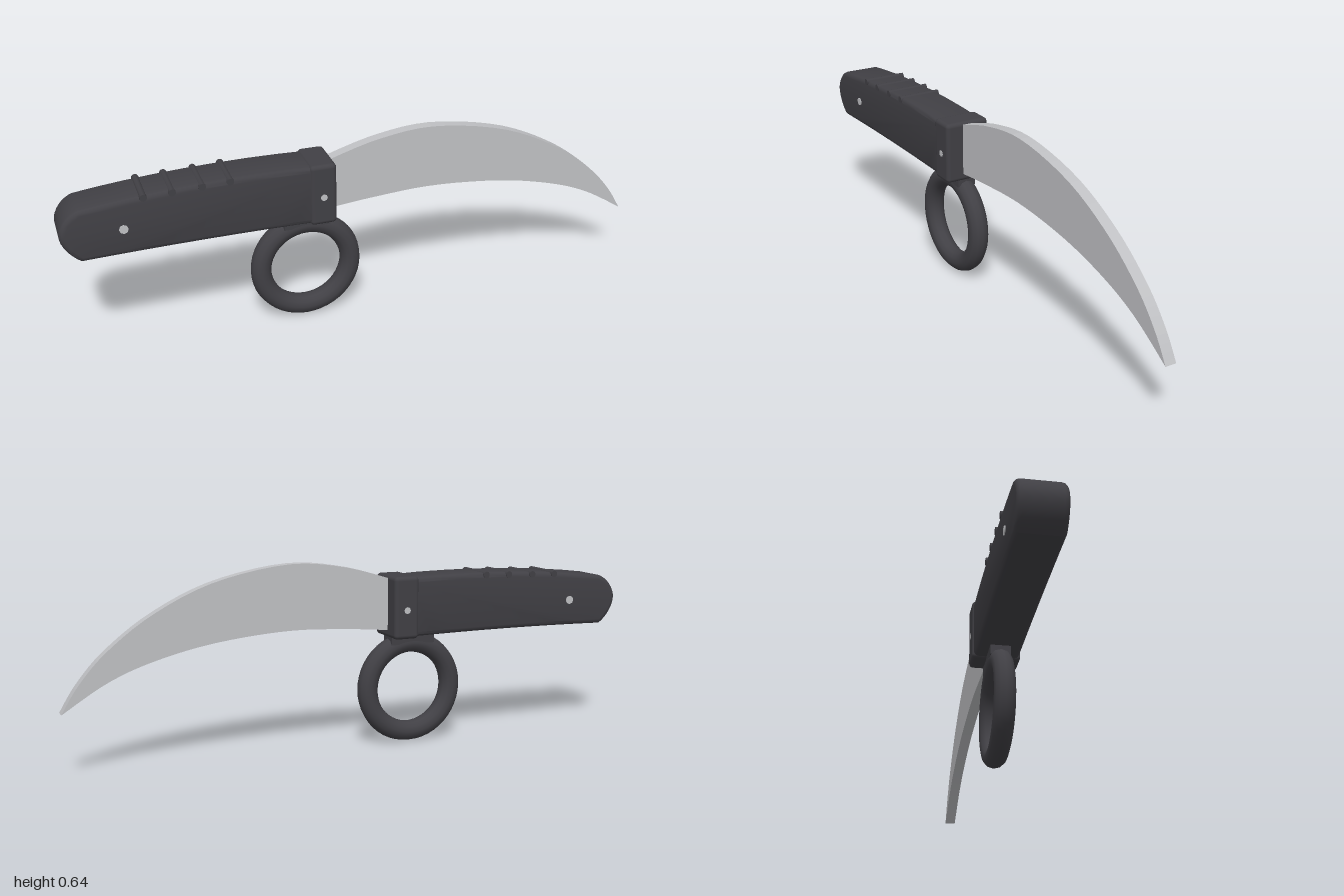
import * as THREE from 'three';
import { toCreasedNormals } from 'three/addons/utils/BufferGeometryUtils.js';
import { RoundedBoxGeometry } from 'three/addons/geometries/RoundedBoxGeometry.js';

export function createModel() {
  const model = new THREE.Group();
  model.name = 'ringKnife';

  const grip = new THREE.MeshStandardMaterial({ name: 'dark grip', color: 0x414045 });
  const steel = new THREE.MeshStandardMaterial({ name: 'blade steel', color: 0xc0c1c4 });

  const add = (name, geometry, material, x = 0, y = 0, z = 0) => {
    const mesh = new THREE.Mesh(geometry, material);
    mesh.name = name;
    mesh.position.set(x, y, z);
    model.add(mesh);
    return mesh;
  };
  const points = (list) => list.map(([x, y]) => new THREE.Vector2(x, y));

  // Curved blade tapering to a drooping point
  const blade = new THREE.Shape();
  blade.moveTo(-0.13, 0.4);
  blade.splineThru(points([[0.03, 0.415], [0.25, 0.424], [0.5, 0.402], [0.7, 0.358], [0.85, 0.301], [0.995, 0.213]]));
  blade.splineThru(points([[0.94, 0.3], [0.85, 0.398], [0.7, 0.507], [0.5, 0.597], [0.25, 0.643], [0.05, 0.625], [-0.13, 0.575]]));
  blade.closePath();
  const bladeGeometry = new THREE.ExtrudeGeometry(blade, { depth: 0.038, bevelEnabled: false, curveSegments: 4 });
  add('blade', bladeGeometry, steel, 0, 0, -0.019);

  // Handle with arched back and rounded butt
  const bevel = 0.016;
  const handle = new THREE.Shape();
  handle.moveTo(-0.15, 0.381);
  handle.quadraticCurveTo(-0.55, 0.39, -0.94, 0.379);
  handle.bezierCurveTo(-0.973, 0.4, -1, 0.44, -1, 0.473);
  handle.bezierCurveTo(-1, 0.505, -0.97, 0.545, -0.935, 0.555);
  handle.bezierCurveTo(-0.75, 0.58, -0.45, 0.598, -0.15, 0.582);
  handle.closePath();
  const handleGeometry = new THREE.ExtrudeGeometry(handle, {
    depth: 0.15 - 2 * bevel, bevelThickness: bevel, bevelSize: bevel,
    bevelOffset: -bevel, bevelSegments: 3, curveSegments: 8,
  });
  add('handle', toCreasedNormals(handleGeometry, 0.6), grip, 0, 0, -0.075 + bevel);

  // Bolster collar and finger ring with its mounting block
  add('bolster', new RoundedBoxGeometry(0.09, 0.213, 0.16, 3, 0.014), grip, -0.155, 0.4825);
  add('ringMount', new THREE.BoxGeometry(0.16, 0.05, 0.066), grip, -0.2, 0.375);
  add('fingerRing', new THREE.TorusGeometry(0.157, 0.035, 12, 48), grip, -0.2, 0.195);

  // Thumb ridges across the back of the handle
  const ridge = new THREE.CylinderGeometry(0.012, 0.012, 0.154, 10).rotateX(Math.PI / 2);
  [[-0.735, 0.57], [-0.645, 0.573], [-0.55, 0.577], [-0.46, 0.58]].forEach(([x, y]) =>
    add('thumbRidge', ridge, grip, x, y));

  // Steel pins through the handle and bolster
  const pin = (name, x, y, radius, length) =>
    add(name, new THREE.CylinderGeometry(radius, radius, length, 8).rotateX(Math.PI / 2), steel, x, y);
  pin('handlePin', -0.803, 0.473, 0.015, 0.156);
  pin('bolsterPin', -0.155, 0.475, 0.012, 0.161);

  return model;
}
